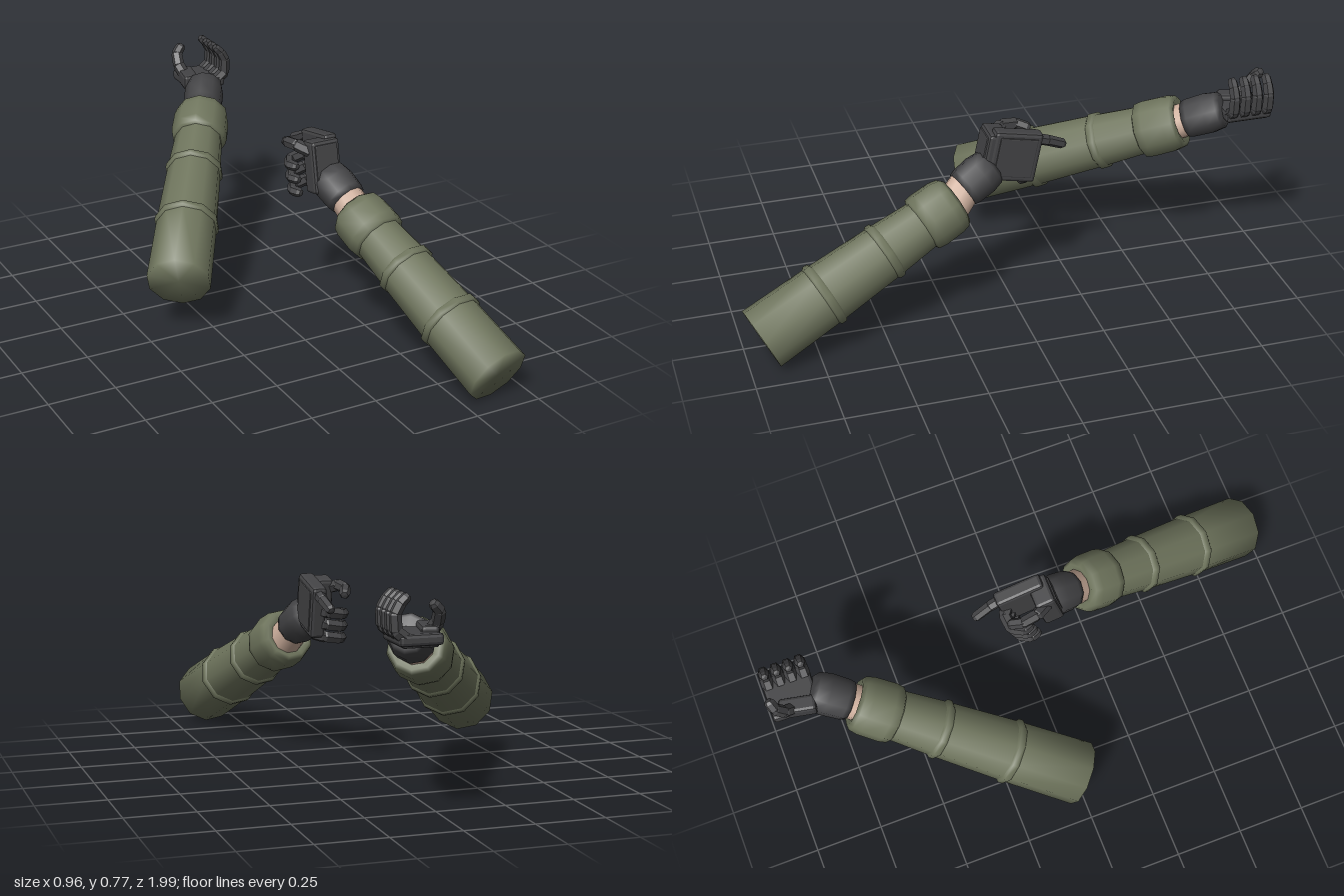
import * as THREE from 'three';
import { RoundedBoxGeometry } from 'three/addons/geometries/RoundedBoxGeometry.js';

const mat = (name, color) => {
  const m = new THREE.MeshStandardMaterial({ color });
  m.name = name;
  return m;
};
const V = (p) => new THREE.Vector3(...p);
const UP = new THREE.Vector3(0, 1, 0);

export function createModel() {
  const model = new THREE.Group();
  model.name = 'arms';
  const olive = mat('oliveSleeve', 0x6f755d);
  const dark = mat('darkGlove', 0x434345);
  const skin = mat('skin', 0xd2b3a0);

  const add = (parent, name, geometry, material) => {
    const mesh = new THREE.Mesh(geometry, material);
    mesh.name = name;
    parent.add(mesh);
    return mesh;
  };

  // Group whose local y axis runs from a towards b
  const along = (parent, name, a, b) => {
    const g = new THREE.Group();
    g.name = name;
    g.position.copy(V(a));
    const d = V(b).sub(V(a));
    g.quaternion.setFromUnitVectors(UP, d.clone().normalize());
    g.userData.length = d.length();
    parent.add(g);
    return g;
  };

  // Turned part from [radius, height] pairs
  const lathe = (pts, sides = 10) =>
    new THREE.LatheGeometry(pts.map(([r, y]) => new THREE.Vector2(r, y)), sides);

  const faceted = (geometry) => {
    const g = geometry.index ? geometry.toNonIndexed() : geometry;
    g.computeVertexNormals();
    return g;
  };

  // Bevelled block
  const block = (parent, name, size, pos, rot = [0, 0, 0], bevel = 0.012) => {
    const m = add(parent, name, faceted(new RoundedBoxGeometry(...size, 1, bevel)), dark);
    m.position.set(...pos);
    m.rotation.set(...rot);
    return m;
  };

  // Finger made of short tapered links along a path
  const finger = (parent, name, path, radius) => {
    const g = new THREE.Group();
    g.name = name;
    parent.add(g);
    for (let i = 0; i < path.length - 1; i++) {
      const link = along(g, 'fingerLink', path[i], path[i + 1]);
      const L = link.userData.length;
      const r = radius * (1 - 0.07 * i);
      const pts = [[0, -0.011], [r * 0.7, -0.009], [r, 0.002], [r * 0.96, L - 0.002], [r * 0.66, L + 0.009], [0, L + 0.011]];
      add(link, 'linkShell', faceted(lathe(pts, 6)), dark);
    }
  };

  // Sleeve with two bands and a thick cuff, then bare wrist and glove cuff
  const forearm = (name, elbow, sleeveEnd, gloveStart, gloveEnd) => {
    const arm = along(model, name, elbow, sleeveEnd);
    const L = arm.userData.length;
    add(arm, 'sleeve', lathe([[0, 0], [0.118, 0], [0.113, 0.32 * L], [0.102, 0.63 * L], [0.09, 0.85 * L]]), olive);
    for (const [t, r] of [[0.32, 0.111], [0.63, 0.1]]) {
      const y = t * L;
      add(arm, 'sleeveBand', lathe([[r, y - 0.018], [r + 0.01, y - 0.009], [r + 0.01, y + 0.009], [r - 0.001, y + 0.018]]), olive);
    }
    add(arm, 'sleeveCuff', lathe([
      [0.086, 0.815 * L], [0.104, 0.825 * L], [0.109, 0.86 * L], [0.107, 0.95 * L],
      [0.1, 0.985 * L], [0.086, L], [0.062, 0.99 * L]]), olive);

    const wrist = along(model, 'wrist', sleeveEnd, gloveStart);
    const W = wrist.userData.length;
    add(wrist, 'wristSkin', lathe([[0.066, -0.03], [0.062, W + 0.03]]), skin);

    const cuff = along(model, 'gloveCuff', gloveStart, gloveEnd);
    const G = cuff.userData.length;
    add(cuff, 'gloveCuffShell', lathe([
      [0.05, 0.004], [0.069, 0], [0.074, 0.02], [0.077, 0.6 * G], [0.07, 0.9 * G], [0.055, G], [0, G + 0.005]]), dark);
  };

  forearm('nearForearm', [0.36, 0.11, 0.95], [0.22, 0.46, 0.215], [0.207, 0.492, 0.185], [0.18, 0.56, 0.07]);
  forearm('farForearm', [-0.385, 0.22, 0], [0.055, 0.56, -0.695], [0.062, 0.568, -0.708], [0.13, 0.625, -0.825]);

  // Near hand: gripping, with the first finger held straight
  const near = new THREE.Group();
  near.name = 'nearHand';
  model.add(near);
  const tilt = [-0.2, 0, 0];
  block(near, 'palm', [0.055, 0.19, 0.18], [0.198, 0.598, -0.003], tilt);
  block(near, 'heel', [0.115, 0.195, 0.075], [0.165, 0.595, 0.07], tilt);
  block(near, 'heelPlate', [0.09, 0.16, 0.012], [0.165, 0.605, 0.106], tilt, 0.004);
  block(near, 'backPlate', [0.01, 0.15, 0.14], [0.225, 0.598, -0.005], tilt, 0.004);
  finger(near, 'straightFinger', [[0.2, 0.655, -0.07], [0.195, 0.635, -0.13], [0.185, 0.608, -0.188]], 0.021);
  for (let i = 0; i < 3; i++) {
    const y = 0.583 - 0.046 * i;
    const z = 0.014 * i;
    finger(near, 'curledFinger', [
      [0.2, y + 0.01, -0.06 + z], [0.165, y, -0.085 + z], [0.11, y - 0.01, -0.08 + z],
      [0.088, y - 0.012, -0.04 + z], [0.1, y - 0.012, -0.012 + z]], 0.024);
  }
  finger(near, 'thumb', [[0.125, 0.65, 0.06], [0.092, 0.665, 0.01], [0.084, 0.66, -0.045], [0.1, 0.645, -0.085]], 0.024);

  // Far hand: palm up, fingers cupped
  const far = new THREE.Group();
  far.name = 'farHand';
  model.add(far);
  block(far, 'palm', [0.15, 0.04, 0.175], [0.135, 0.625, -0.893]);
  block(far, 'backPlate', [0.12, 0.01, 0.15], [0.135, 0.604, -0.893], [0, 0, 0], 0.004);
  block(far, 'heel', [0.06, 0.06, 0.13], [0.083, 0.635, -0.885], [0, -0.2, 0]);
  for (let i = 0; i < 4; i++) {
    const z = -0.958 + 0.0435 * i;
    finger(far, 'cuppedFinger', [
      [0.185, 0.63, z], [0.216, 0.655, z], [0.219, 0.71, z], [0.202, 0.742, z], [0.182, 0.762, z]], 0.023);
  }
  finger(far, 'thumb', [[0.08, 0.64, -0.905], [0.068, 0.675, -0.935], [0.073, 0.715, -0.963], [0.095, 0.738, -0.972]], 0.024);

  return model;
}
